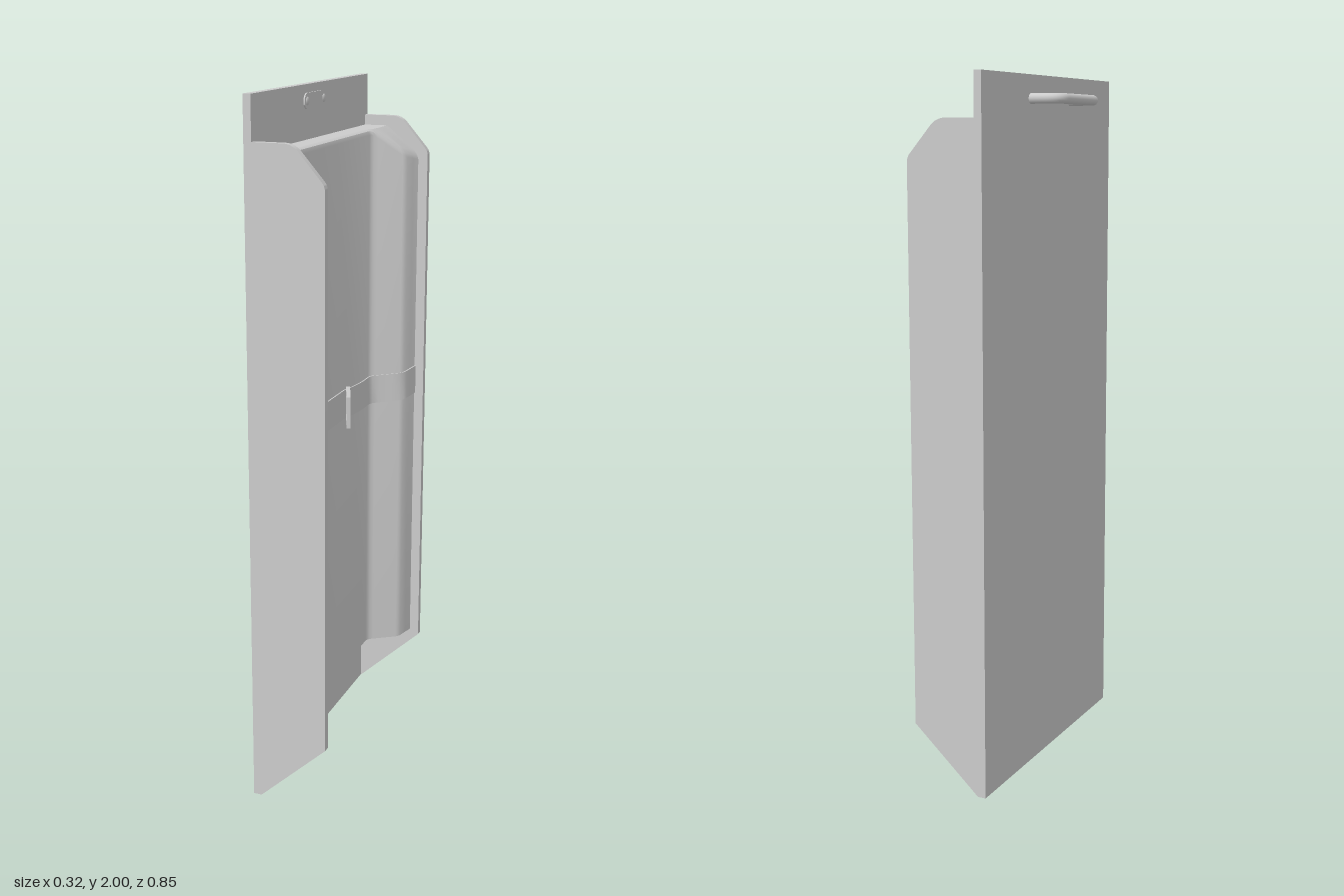
import * as THREE from 'three';
import { toCreasedNormals } from 'three/addons/utils/BufferGeometryUtils.js';

const material = new THREE.MeshStandardMaterial({ color: 0xcccccc });
const V = (x, y, z) => new THREE.Vector3(x, y, z);

function add(parent, name, geometry, x = 0, y = 0, z = 0) {
  const mesh = new THREE.Mesh(geometry, material);
  mesh.name = name;
  mesh.position.set(x, y, z);
  parent.add(mesh);
  return mesh;
}

// Skin between closed sections; each runs counterclockwise seen from +z.
function loft(sections, crease = 0.6) {
  const n = sections[0].length, last = sections.length - 1, pos = [], idx = [];
  sections.forEach(s => s.forEach(p => pos.push(p.x, p.y, p.z)));
  for (let i = 0; i < last; i++) {
    for (let j = 0; j < n; j++) {
      const a = i * n + j, b = i * n + (j + 1) % n;
      idx.push(a, b, b + n, a, b + n, a + n);
    }
  }
  for (let j = 1; j < n - 1; j++) {
    idx.push(0, j + 1, j, last * n, last * n + j, last * n + j + 1);
  }
  const g = new THREE.BufferGeometry();
  g.setAttribute('position', new THREE.Float32BufferAttribute(pos, 3));
  g.setIndex(idx);
  return toCreasedNormals(g, crease);
}

// Padding depth along z for one half: [z, x]
const HALF = [[0, 0.026], [0.262, 0.026], [0.271, 0.028], [0.279, 0.033], [0.287, 0.043],
  [0.33, 0.106], [0.336, 0.112], [0.345, 0.117], [0.375, 0.124], [0.405, 0.131]];
const PROFILE = [...HALF.slice(1).reverse().map(([z, x]) => [-z, x]), ...HALF];

function paddingDepth(z) {
  const a = Math.abs(z);
  const i = Math.max(1, HALF.findIndex(p => p[0] >= a));
  const [z0, x0] = HALF[i - 1], [z1, x1] = HALF[i];
  return x0 + (x1 - x0) * (a - z0) / (z1 - z0);
}

// Upper edge of the padding drops where the bolsters come forward.
const paddingTop = x => 1.85 - Math.max(0, x - 0.03) * 0.8;

function paddingGeometry() {
  return loft(PROFILE.map(([z, x]) => {
    const top = paddingTop(x);
    const shoulder = Math.min(x - 0.016, 0.03);
    return [
      V(-0.042, 0.2, z), V(x, 0.2, z), V(x, top - 0.016, z),
      V(x - 0.004, top - 0.005, z), V(x - 0.014, paddingTop(x - 0.014), z),
      V(shoulder, 1.85, z), V(-0.042, 1.85, z),
    ];
  }));
}

// Webbing that hugs the padding with a gentle wave on one side.
function strapGeometry() {
  const sections = [];
  for (let i = 0; i <= 64; i++) {
    const z = -0.404 + 0.808 * i / 64;
    const t = THREE.MathUtils.clamp((-z - 0.06) / 0.34, 0, 1);
    const mid = 1.064 - 0.013 * Math.sin(t * Math.PI);
    const x = paddingDepth(z);
    sections.push([V(x - 0.002, mid - 0.044, z), V(x + 0.004, mid - 0.044, z),
      V(x + 0.004, mid + 0.044, z), V(x - 0.002, mid + 0.044, z)]);
  }
  return loft(sections);
}

function sidePanelGeometry() {
  const s = new THREE.Shape();
  s.moveTo(-0.064, 0);
  s.lineTo(-0.04, 0);
  s.lineTo(0.16, 0.185);
  s.lineTo(0.16, 1.765);
  s.quadraticCurveTo(0.16, 1.778, 0.15, 1.789);
  s.lineTo(0.088, 1.86);
  s.quadraticCurveTo(0.07, 1.88, 0.045, 1.88);
  s.lineTo(-0.064, 1.88);
  s.closePath();
  const g = new THREE.ExtrudeGeometry(s, { depth: 0.02, bevelEnabled: false, curveSegments: 8 });
  g.translate(0, 0, -0.01);
  return toCreasedNormals(g, 0.5);
}

// U-shaped grip with rounded corners
function handleGeometry() {
  const path = new THREE.CurvePath(), y = 1.935, r = 0.04;
  const out = -0.15, half = 0.13;
  path.add(new THREE.LineCurve3(V(-0.06, y, -half), V(out + r, y, -half)));
  path.add(new THREE.QuadraticBezierCurve3(V(out + r, y, -half), V(out, y, -half), V(out, y, -half + r)));
  path.add(new THREE.LineCurve3(V(out, y, -half + r), V(out, y, half - r)));
  path.add(new THREE.QuadraticBezierCurve3(V(out, y, half - r), V(out, y, half), V(out + r, y, half)));
  path.add(new THREE.LineCurve3(V(out + r, y, half), V(-0.06, y, half)));
  return new THREE.TubeGeometry(path, 64, 0.0145, 14);
}

// Rounded slot cover, extruded towards +x
function slotCoverGeometry() {
  const s = new THREE.Shape(), r = 0.022, h = 0.058;
  s.absarc(h, 0, r, -Math.PI / 2, Math.PI / 2);
  s.absarc(-h, 0, r, Math.PI / 2, Math.PI * 1.5);
  const g = new THREE.ExtrudeGeometry(s, { depth: 0.005, bevelEnabled: false, curveSegments: 12 });
  g.rotateY(Math.PI / 2);
  return toCreasedNormals(g, 0.5);
}

function rectangle(target, w, h) {
  target.moveTo(-w / 2, -h / 2);
  target.lineTo(w / 2, -h / 2);
  target.lineTo(w / 2, h / 2);
  target.lineTo(-w / 2, h / 2);
  target.closePath();
  return target;
}

export function createModel() {
  const model = new THREE.Group();
  model.name = 'paddedBoard';

  // Board and side walls
  add(model, 'backBoard', new THREE.BoxGeometry(0.022, 2, 0.85), -0.053, 1, 0);
  for (const side of [-1, 1]) {
    add(model, side > 0 ? 'leftSidePanel' : 'rightSidePanel', sidePanelGeometry(), 0, 0, side * 0.415);
  }

  // Padding with bolsters
  add(model, 'padding', paddingGeometry());

  // Strap and tilted open buckle
  add(model, 'strap', strapGeometry());
  const frame = rectangle(new THREE.Shape(), 0.12, 0.094);
  frame.holes.push(rectangle(new THREE.Path(), 0.094, 0.07));
  const buckleGeometry = new THREE.ExtrudeGeometry(frame, { depth: 0.012, bevelEnabled: false });
  buckleGeometry.translate(0, 0, -0.006);
  add(model, 'buckle', buckleGeometry, 0.054, 1.067, -0.022).rotation.y = -1.19;
  // Webbing threaded through the buckle
  add(model, 'buckleWebbing', new THREE.BoxGeometry(0.1, 0.08, 0.004), 0.054, 1.067, -0.022).rotation.y = -1.19;

  // Carrying handle and its cover on the inner face
  add(model, 'handle', handleGeometry());
  add(model, 'handleCover', slotCoverGeometry(), -0.043, 1.955, 0);
  for (const z of [-0.06, 0.06]) {
    const rivet = new THREE.SphereGeometry(0.012, 14, 8);
    rivet.scale(0.4, 1, 1);
    add(model, 'handleRivet', rivet, -0.039, 1.955, z);
  }
  return model;
}
